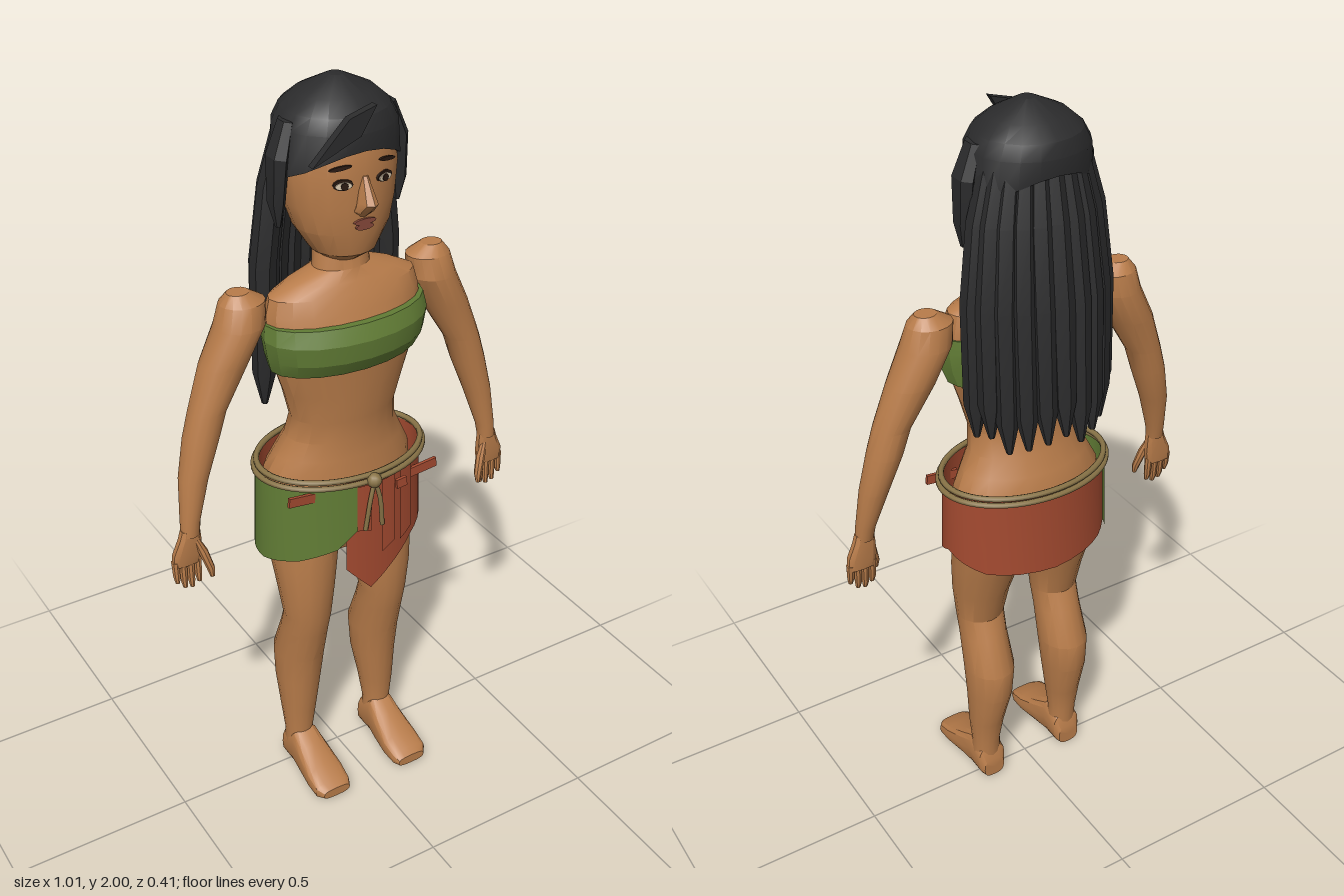
import * as THREE from 'three';
import { toCreasedNormals } from 'three/addons/utils/BufferGeometryUtils.js';

const mat = (name, color, side = THREE.FrontSide) => {
  const m = new THREE.MeshStandardMaterial({ color, side });
  m.name = name;
  return m;
};

// Closed skin over elliptical rings, listed upwards: [y, centreX, radiusX, zFront, zBack].
// power below 1 makes the rings boxier.
function loft(rows, n = 16, power = 1, crease = 0.45) {
  const pos = [], idx = [];
  const bend = v => Math.sign(v) * Math.abs(v) ** power;
  for (const [y, cx, rx, zf, zb] of rows)
    for (let j = 0; j < n; j++) {
      const a = (j / n) * Math.PI * 2;
      pos.push(cx + rx * bend(Math.sin(a)), y, (zf + zb) / 2 + ((zf - zb) / 2) * bend(Math.cos(a)));
    }
  const last = (rows.length - 1) * n, lo = rows.length * n;
  for (const r of [rows[0], rows[rows.length - 1]]) pos.push(r[1], r[0], (r[3] + r[4]) / 2);
  for (let j = 0; j < n; j++) {
    const k = (j + 1) % n;
    for (let i = 0; i < last; i += n) idx.push(i + j, i + k, i + n + k, i + j, i + n + k, i + n + j);
    idx.push(lo, k, j, lo + 1, last + j, last + k);
  }
  const g = new THREE.BufferGeometry();
  g.setAttribute('position', new THREE.Float32BufferAttribute(pos, 3));
  g.setIndex(idx);
  return toCreasedNormals(g, crease);
}

// Point on the oval the skirt hangs from; 0 degrees is the front.
const oval = (deg, k = 1) => {
  const a = THREE.MathUtils.degToRad(deg);
  return [0.225 * k * Math.sin(a), 0.0075 + 0.158 * k * Math.cos(a)];
};

// Curved cloth hanging from yTop to the hem given as [degrees, y] stops.
function cloth(stops, yTop, k) {
  const pos = [], idx = [];
  for (let s = 0; s < stops.length - 1; s++)
    for (let t = 0; t <= 4; t++) {
      const deg = THREE.MathUtils.lerp(stops[s][0], stops[s + 1][0], t / 4);
      const y = THREE.MathUtils.lerp(stops[s][1], stops[s + 1][1], t / 4);
      const [x0, z0] = oval(deg, k), [x1, z1] = oval(deg, k * 1.03);
      const b = pos.length / 3;
      pos.push(x0, yTop, z0, x1, y, z1);
      if (t < 4) idx.push(b, b + 1, b + 3, b, b + 3, b + 2);
    }
  const g = new THREE.BufferGeometry();
  g.setAttribute('position', new THREE.Float32BufferAttribute(pos, 3));
  g.setIndex(idx);
  return toCreasedNormals(g, 0.3);
}

export function createModel() {
  const root = new THREE.Group();
  const skin = mat('skin', 0xb87c4a);
  const black = mat('hair black', 0x2b2b2c);
  const green = mat('green cloth', 0x617c35, THREE.DoubleSide);
  const red = mat('red cloth', 0xa34a30, THREE.DoubleSide);
  const rope = mat('rope', 0x8a7548);
  const white = mat('eye white', 0xdccbb0);
  const dark = mat('eye dark', 0x2a1a12);
  const lip = mat('lips', 0x86483a);
  const add = (name, geo, m, parent = root) => {
    const mesh = new THREE.Mesh(geo, m);
    mesh.name = name;
    parent.add(mesh);
    return mesh;
  };

  // Trunk and neck
  add('torso', loft([
    [0.76, 0, 0.18, 0.09, -0.11], [0.83, 0, 0.2, 0.12, -0.13], [0.92, 0, 0.21, 0.13, -0.135],
    [1.0, 0, 0.205, 0.12, -0.13], [1.05, 0, 0.18, 0.115, -0.11], [1.1, 0, 0.154, 0.11, -0.09],
    [1.16, 0, 0.146, 0.115, -0.07], [1.24, 0, 0.168, 0.125, -0.07], [1.32, 0, 0.195, 0.13, -0.075],
    [1.4, 0, 0.212, 0.14, -0.08], [1.46, 0, 0.21, 0.118, -0.075], [1.5, 0, 0.2, 0.1, -0.06],
    [1.525, 0, 0.15, 0.085, -0.05], [1.55, 0, 0.075, 0.07, -0.04], [1.61, 0, 0.068, 0.06, -0.045],
  ], 20), skin);
  add('chestBand', loft([
    [1.31, 0, 0.203, 0.135, -0.08], [1.35, 0, 0.216, 0.158, -0.086],
    [1.4, 0, 0.224, 0.163, -0.09], [1.44, 0, 0.218, 0.145, -0.085],
  ], 20, 1, 0.33), green);

  // Head and face
  add('head', loft([
    [1.575, 0, 0.05, 0.07, -0.04], [1.6, 0, 0.082, 0.104, -0.06], [1.66, 0, 0.12, 0.118, -0.09],
    [1.72, 0, 0.138, 0.12, -0.11], [1.8, 0, 0.148, 0.122, -0.125], [1.88, 0, 0.14, 0.115, -0.13],
    [1.94, 0, 0.1, 0.08, -0.1],
  ], 20), skin);
  add('nose', loft([
    [1.7, 0, 0.012, 0.12, 0.09], [1.715, 0, 0.026, 0.138, 0.09],
    [1.74, 0, 0.022, 0.165, 0.09], [1.8, 0, 0.009, 0.128, 0.09],
  ], 8), skin);
  const disc = (name, m, x, y, z, w, h, turn = 0) => {
    const d = add(name, new THREE.CylinderGeometry(1, 1, 0.006, 12).rotateX(Math.PI / 2), m);
    d.scale.set(w, h, 1);
    d.position.set(x, y, z);
    d.rotation.set(0, x * 5, turn);
  };
  disc('upperLip', lip, 0, 1.69, 0.121, 0.03, 0.007);
  disc('lowerLip', lip, 0, 1.677, 0.12, 0.024, 0.008);
  for (const s of [-1, 1]) {
    disc('eyeOutline', dark, s * 0.055, 1.787, 0.114, 0.024, 0.013);
    disc('eyeWhite', white, s * 0.055, 1.785, 0.117, 0.02, 0.009);
    disc('iris', dark, s * 0.054, 1.785, 0.12, 0.009, 0.009);
    disc('eyebrow', dark, s * 0.062, 1.827, 0.114, 0.027, 0.005, -s * 0.15);
  }

  // Hair: cap with a hairline that drops at the sides
  const cap = loft([
    [1.86, 0, 0.158, 0.126, -0.148], [1.9, 0, 0.15, 0.126, -0.15], [1.935, 0, 0.13, 0.112, -0.138],
    [1.965, 0, 0.095, 0.075, -0.1], [2.0, 0, 0.02, 0.01, -0.03],
  ], 20);
  const p = cap.attributes.position;
  for (let i = 0; i < p.count; i++)
    if (p.getY(i) < 1.87) p.setY(i, p.getY(i) - 0.07 * (p.getX(i) / 0.158) ** 2);
  add('hairCap', cap, black);

  // Hanging strands fanned round the back
  for (let i = 0; i < 11; i++) {
    const t = ((i - 5) / 5) * 1.35, sx = Math.sin(t), cz = Math.cos(t);
    const end = 1.17 + 0.035 * ((i * 3) % 4) / 3;
    const ring = (y, kx, kz, r) => [y, kx * sx, r, -0.025 - kz * cz + r, -0.025 - kz * cz - r];
    add('hairStrand', loft([
      ring(end, 0.18, 0.165, 0.008), ring(end + 0.09, 0.18, 0.153, 0.03), ring(1.55, 0.178, 0.135, 0.033),
      ring(1.75, 0.155, 0.11, 0.031), ring(1.92, 0.115, 0.085, 0.02),
    ], 6, 1, 0.3), black);
  }
  for (const s of [-1, 1])
    add('sideLock', loft([
      [1.67, s * 0.163, 0.006, 0.015, -0.005], [1.73, s * 0.165, 0.018, 0.035, -0.03],
      [1.84, s * 0.16, 0.022, 0.045, -0.04], [1.92, s * 0.135, 0.015, 0.03, -0.03],
    ], 6, 1, 0.3), black);
  const sweep = new THREE.Shape([[-0.145, 1.85], [-0.02, 1.9], [0.02, 1.965], [-0.05, 1.945]].map(q => new THREE.Vector2(...q)));
  add('sweptLock', new THREE.ExtrudeGeometry(sweep, { depth: 0.02, bevelEnabled: false }).translate(0, 0, 0.115), black);

  for (const s of [-1, 1]) {
    // Arm, palm and fingers
    add('arm', loft([
      [0.93, s * 0.449, 0.024, 0.062, 0.018], [0.97, s * 0.445, 0.026, 0.062, 0.01],
      [1.08, s * 0.422, 0.038, 0.06, -0.018], [1.18, s * 0.392, 0.046, 0.06, -0.035],
      [1.25, s * 0.37, 0.048, 0.058, -0.038], [1.36, s * 0.317, 0.062, 0.06, -0.055],
      [1.45, s * 0.272, 0.064, 0.066, -0.06], [1.505, s * 0.262, 0.058, 0.05, -0.05],
      [1.53, s * 0.272, 0.028, 0.025, -0.025],
    ]), skin);
    add('palm', loft([
      [0.845, s * 0.464, 0.038, 0.053, 0.025], [0.88, s * 0.46, 0.04, 0.058, 0.022],
      [0.92, s * 0.452, 0.03, 0.058, 0.022], [0.945, s * 0.449, 0.025, 0.058, 0.022],
    ], 10, 0.8), skin);
    for (let f = 0; f < 4; f++) {
      const x = 0.434 + f * 0.02, y = [0.785, 0.775, 0.78, 0.8][f];
      add('finger', loft([
        [y, s * x, 0.006, 0.052, 0.04], [y + 0.02, s * x, 0.0095, 0.052, 0.032],
        [0.86, s * x, 0.011, 0.05, 0.028],
      ], 8), skin);
    }
    add('thumb', loft([
      [0.805, s * 0.409, 0.006, 0.076, 0.064], [0.83, s * 0.411, 0.011, 0.077, 0.055],
      [0.88, s * 0.425, 0.013, 0.068, 0.042], [0.92, s * 0.44, 0.008, 0.055, 0.04],
    ], 8), skin);

    // Leg and foot
    add('leg', loft([
      [0.04, s * 0.128, 0.042, 0.045, -0.035], [0.12, s * 0.13, 0.04, 0.042, -0.036],
      [0.2, s * 0.128, 0.05, 0.05, -0.05], [0.31, s * 0.123, 0.062, 0.06, -0.08],
      [0.4, s * 0.121, 0.068, 0.072, -0.085], [0.5, s * 0.12, 0.064, 0.095, -0.045],
      [0.56, s * 0.119, 0.066, 0.106, -0.022], [0.65, s * 0.118, 0.078, 0.113, -0.045],
      [0.74, s * 0.114, 0.09, 0.113, -0.08], [0.84, s * 0.11, 0.095, 0.11, -0.115],
    ]), skin);
    add('foot', loft([
      [-0.04, s * 0.128, 0.032, 0, -0.06], [-0.025, s * 0.128, 0.042, 0, -0.1],
      [0.03, s * 0.128, 0.044, 0, -0.13], [0.08, s * 0.127, 0.05, 0, -0.1],
      [0.14, s * 0.127, 0.056, 0, -0.068], [0.185, s * 0.128, 0.054, 0, -0.05],
      [0.205, s * 0.125, 0.042, 0.003 - 0.01, -0.036],
    ], 16, 0.7).rotateX(Math.PI / 2), skin);
  }

  // Skirt: red wrap, green side panel, loose front strips and tabs
  add('redWrap', cloth([[-18, 0.75], [0, 0.67], [16, 0.715], [38, 0.77], [70, 0.8], [92, 0.83],
    [130, 0.79], [180, 0.78], [225, 0.79], [252, 0.82]], 1.015, 1), red);
  add('greenPanel', cloth([[-112, 0.77], [-85, 0.768], [-50, 0.79], [-24, 0.82], [-10, 0.87]], 1.015, 1.03), green);
  for (const [a, b, y0, y1] of [[-11, -1, 0.87, 0.86], [7, 17, 0.78, 0.8], [22, 34, 0.79, 0.81]])
    add('skirtStrip', cloth([[a, y0], [b, y1]], 1.0, 1.05), red);
  for (const [x, y, z, w, r] of [[-0.165, 0.985, 0.13, 0.11, -0.12], [0.175, 0.965, 0.13, 0.09, 0.1], [0.08, 0.98, 0.18, 0.03, 0.1]]) {
    const tab = add('skirtTab', new THREE.BoxGeometry(w, 0.026, 0.009), red);
    tab.position.set(x, y, z);
    tab.rotation.z = r;
  }

  // Rope belt with a knot and hanging ends
  for (const [y, k] of [[1.025, 1.01], [1.01, 1.045]]) {
    const pts = Array.from({ length: 24 }, (_, i) => {
      const [x, z] = oval(i * 15, k);
      return new THREE.Vector3(x, y, z);
    });
    add('ropeBelt', new THREE.TubeGeometry(new THREE.CatmullRomCurve3(pts, true), 60, 0.008, 6, true), rope);
  }
  add('knot', new THREE.SphereGeometry(0.02, 10, 8), rope).position.set(0, 1.012, 0.178);
  for (const s of [-1, 1]) {
    const c = new THREE.CatmullRomCurve3([[0, 1.01, 0.18], [s * 0.014, 0.96, 0.184], [s * 0.025, 0.87, 0.18]].map(q => new THREE.Vector3(...q)));
    add('ropeEnd', new THREE.TubeGeometry(c, 8, 0.006, 6), rope);
  }
  return root;
}
